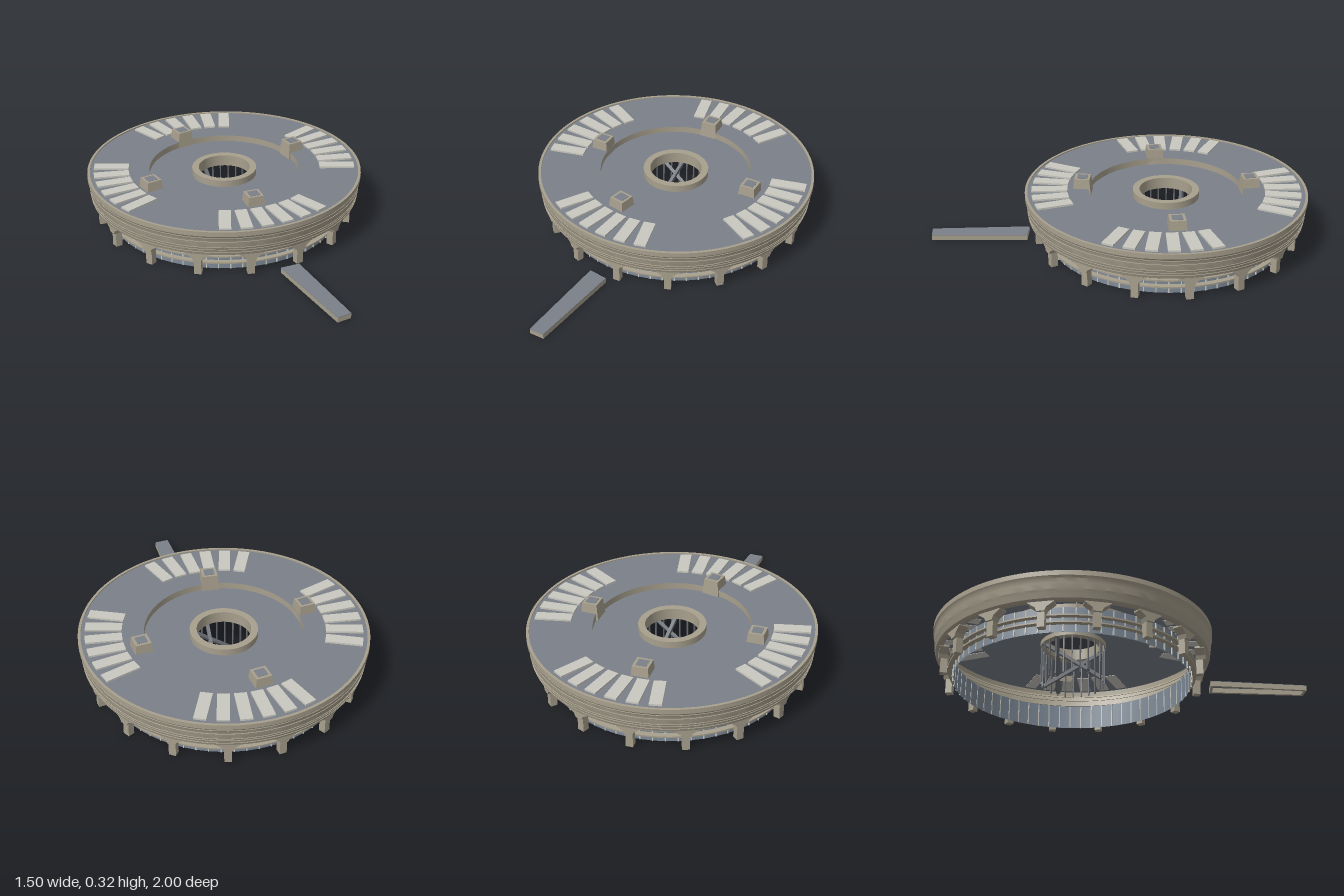
import * as THREE from 'three';
import { toCreasedNormals } from 'three/addons/utils/BufferGeometryUtils.js';

const mat = (name, color) => {
  const m = new THREE.MeshStandardMaterial({ color, side: THREE.DoubleSide });
  m.name = name;
  return m;
};

export function createModel() {
  const concrete = mat('warm concrete', 0xa8a08e);
  const slate = mat('slate roofing', 0x7b8189);
  const glass = mat('blue grey glass', 0x7d8a98);
  const pale = mat('pale panels', 0xcac9c0);
  const steel = mat('dark steel', 0x666a70);

  const model = new THREE.Group();
  model.name = 'roundBuilding';
  const hall = new THREE.Group();
  hall.name = 'hall';
  hall.position.z = -0.255;
  model.add(hall);

  const add = (parent, name, geometry, material, x = 0, y = 0, z = 0) => {
    const mesh = new THREE.Mesh(geometry, material);
    mesh.name = name;
    mesh.position.set(x, y, z);
    parent.add(mesh);
    return mesh;
  };
  const lathe = (name, profile, material, segments = 96) => add(hall, name,
    toCreasedNormals(new THREE.LatheGeometry(profile.map(p => new THREE.Vector2(...p)), segments), 0.4), material);
  // Group turned about the hall's axis; its +z points outward
  const spoke = (name, angle) => {
    const g = new THREE.Group();
    g.name = name;
    g.rotation.y = angle;
    hall.add(g);
    return g;
  };
  const bar = (name, a, b, size, material) => {
    const from = new THREE.Vector3(...a), to = new THREE.Vector3(...b);
    const mid = from.clone().add(to).multiplyScalar(0.5);
    const mesh = add(hall, name, new THREE.BoxGeometry(size, size, from.distanceTo(to)), material, mid.x, mid.y, mid.z);
    mesh.quaternion.setFromUnitVectors(new THREE.Vector3(0, 0, 1), to.sub(from).normalize());
  };

  // Stepped outer band with a thin parapet
  lathe('facade', [
    [0.695, 0.13], [0.718, 0.13], [0.729, 0.137], [0.734, 0.152], [0.731, 0.153], [0.736, 0.168],
    [0.733, 0.169], [0.738, 0.181], [0.735, 0.182], [0.741, 0.215], [0.738, 0.216], [0.743, 0.237],
    [0.74, 0.238], [0.748, 0.25], [0.748, 0.276], [0.734, 0.276], [0.734, 0.268]], concrete);

  // Roof ring, sunken court and the kerb round the central opening
  lathe('outerRoof', [[0.735, 0.27], [0.41, 0.27]], slate);
  lathe('courtWall', [[0.41, 0.27], [0.41, 0.235]], concrete);
  lathe('courtRoof', [[0.41, 0.235], [0.17, 0.235]], slate);
  lathe('openingKerb', [[0.14, 0.21], [0.176, 0.21], [0.176, 0.272], [0.14, 0.272], [0.14, 0.21]], concrete, 64);

  // Glazed drum with rails and mullions
  lathe('glassDrum', [[0.63, 0], [0.63, 0.135]], glass);
  for (const y of [0.045, 0.082])
    lathe('rail', [[0.63, y - 0.004], [0.658, y - 0.004], [0.658, y + 0.004], [0.63, y + 0.004]], concrete);
  for (let i = 0; i < 64; i++)
    add(spoke('mullionSpoke', (i + 0.5) * Math.PI / 32), 'mullion',
      new THREE.BoxGeometry(0.006, 0.13, 0.008), pale, 0, 0.067, 0.632);

  // Sixteen columns with flared heads
  const head = new THREE.Shape([[-0.019, 0.08], [0.019, 0.08], [0.028, 0.1], [0.066, 0.126], [0.066, 0.136],
    [-0.066, 0.136], [-0.066, 0.126], [-0.028, 0.1]].map(p => new THREE.Vector2(...p)));
  const headGeometry = new THREE.ExtrudeGeometry(head, { depth: 0.05, bevelEnabled: false });
  for (let i = 0; i < 16; i++) {
    const g = spoke('columnSpoke', (i + 0.5) * Math.PI / 8);
    add(g, 'column', new THREE.BoxGeometry(0.037, 0.13, 0.036), concrete, 0, 0.065, 0.682);
    add(g, 'columnHead', headGeometry, concrete, 0, 0, 0.662);
  }

  // Four fans of six roof panels
  for (let side = 0; side < 4; side++)
    for (let i = 0; i < 6; i++) {
      const g = spoke('roofPanelSpoke', side * Math.PI / 2 + (i - 2.5) * 0.155);
      add(g, 'roofPanel', new THREE.BoxGeometry(0.062, 0.012, 0.19), pale, 0, 0.274, 0.618);
    }

  // Tapered hollow roof vents with slate caps
  const vent = new THREE.CylinderGeometry(0.041 * Math.SQRT2, 0.049 * Math.SQRT2, 0.085, 4, 1, true)
    .rotateY(Math.PI / 4).toNonIndexed();
  vent.computeVertexNormals();
  for (const [x, z] of [[-0.08, -0.445], [0.44, -0.065], [-0.45, 0.075], [-0.02, 0.445]]) {
    const g = spoke('roofVent', Math.atan2(x, z));
    const r = Math.hypot(x, z);
    add(g, 'ventBody', vent, concrete, 0, 0.2775, r);
    add(g, 'ventTop', new THREE.BoxGeometry(0.082, 0.004, 0.082), concrete, 0, 0.319, r);
    add(g, 'ventCap', new THREE.BoxGeometry(0.055, 0.004, 0.055), slate, 0, 0.3205, r);
  }

  // Cage of slim posts below the opening, with diagonal braces
  for (let i = 0; i < 24; i++)
    add(spoke('postSpoke', i * Math.PI / 12), 'cagePost',
      new THREE.BoxGeometry(0.007, 0.235, 0.007), steel, 0, 0.1175, 0.168);
  for (const s of [-1, 1]) {
    bar('brace', [s * 0.057, 0.115 - s * 0.1, -0.155], [s * 0.057, 0.115 + s * 0.1, 0.155], 0.018, steel);
    bar('brace', [-0.15, 0.115 - s * 0.1, s * 0.082], [0.15, 0.115 + s * 0.1, s * 0.082], 0.018, steel);
  }

  // Tapering walkway: hollow tray with a slate deck
  const outline = [[0.005, 0.48], [0.108, 0.48], [0.138, 0.99], [0.06, 1.0]];
  const cx = 0.078, cz = 0.74;
  const toShape = pts => pts.map(([x, z]) => new THREE.Vector2(x, -z));
  const rim = new THREE.Shape(toShape(outline));
  rim.holes.push(new THREE.Path(toShape(outline.map(([x, z]) =>
    [x - Math.sign(x - cx) * 0.014, z - Math.sign(z - cz) * 0.014]))));
  add(model, 'walkwayRim', new THREE.ExtrudeGeometry(rim, { depth: 0.026, bevelEnabled: false })
    .rotateX(-Math.PI / 2), concrete);
  add(model, 'walkwayDeck', new THREE.ExtrudeGeometry(new THREE.Shape(toShape(outline)),
    { depth: 0.003, bevelEnabled: false }).rotateX(-Math.PI / 2), slate, 0, 0.026, 0);

  return model;
}
